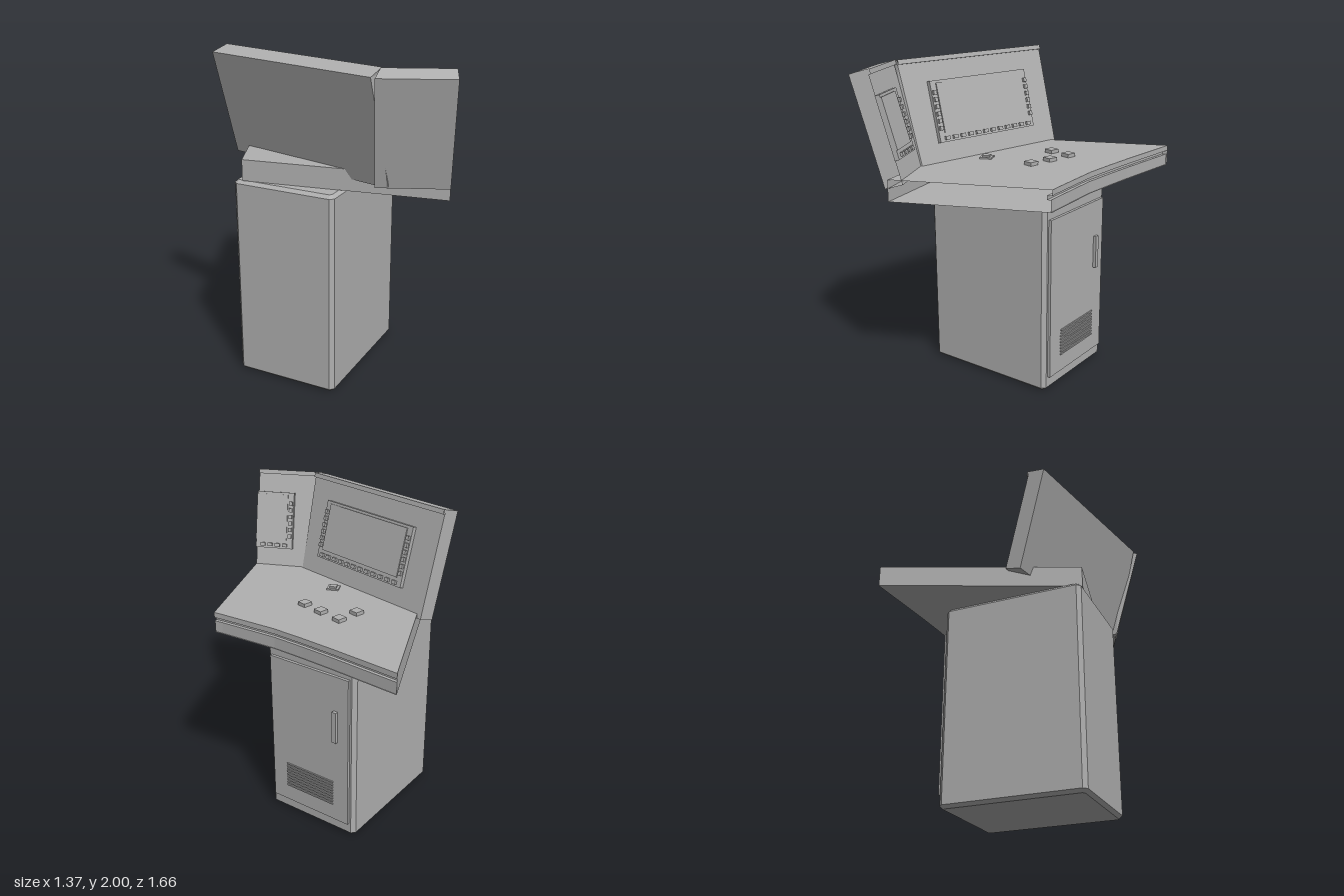
import * as THREE from 'three';

export function createModel() {
  const root = new THREE.Group();
  const metal = new THREE.MeshStandardMaterial({ color: 0xb0b0b0, side: THREE.DoubleSide });
  metal.name = 'greyMetal';

  const add = (parent, name, geometry, x = 0, y = 0, z = 0) => {
    const mesh = new THREE.Mesh(geometry, metal);
    mesh.name = name;
    mesh.position.set(x, y, z);
    parent.add(mesh);
    return mesh;
  };
  const box = (parent, name, w, h, d, x, y, z) => add(parent, name, new THREE.BoxGeometry(w, h, d), x, y, z);
  const group = (parent, name) => {
    const g = new THREE.Group();
    g.name = name;
    parent.add(g);
    return g;
  };

  // Flat-shaded surface through rows of points
  const sheet = (rows) => {
    const n = rows[0].length, index = [];
    for (let r = 0; r < rows.length - 1; r++)
      for (let c = 0; c < n - 1; c++) {
        const a = r * n + c;
        index.push(a, a + n, a + 1, a + 1, a + n, a + n + 1);
      }
    const g = new THREE.BufferGeometry();
    g.setAttribute('position', new THREE.Float32BufferAttribute(rows.flat(2), 3));
    g.setIndex(index);
    const flat = g.toNonIndexed();
    flat.computeVertexNormals();
    return flat;
  };

  // Cabinet: chamfered box turned on the floor
  const cabinet = group(root, 'cabinet');
  cabinet.position.set(-0.085, 0, 0.075);
  cabinet.rotation.y = -0.408;
  const bevel = 0.02, hw = 0.327 - bevel, hd = 0.44 - bevel, cut = 0.012;
  const plan = new THREE.Shape([
    [-hw + cut, -hd], [hw - cut, -hd], [hw, -hd + cut], [hw, hd - cut],
    [hw - cut, hd], [-hw + cut, hd], [-hw, hd - cut], [-hw, -hd + cut],
  ].map(([x, y]) => new THREE.Vector2(x, y)));
  const body = new THREE.ExtrudeGeometry(plan, {
    depth: 1.26 - 2 * bevel, bevelEnabled: true, bevelSize: bevel, bevelThickness: bevel, bevelSegments: 1,
  });
  body.rotateX(-Math.PI / 2);
  add(cabinet, 'cabinetBody', body, 0, bevel, 0);

  // Door with handle and vent on the operator side
  box(cabinet, 'door', 0.58, 1.02, 0.02, 0, 0.6, -0.448);
  box(cabinet, 'doorHandle', 0.03, 0.21, 0.022, -0.2, 0.775, -0.467);
  for (let i = 0; i < 9; i++)
    box(cabinet, 'ventSlat', 0.36, 0.009, 0.008, 0, 0.205 + i * 0.0205, -0.461);

  // Desk: hollow slab, open at the right-hand joint, grooved curved edge
  const desk = group(root, 'desk');
  const back = [[0.68, -0.295], [0.63, -0.31], [0.27, -0.44], [0.08, -0.53], [-0.1, -0.62], [-0.5, -0.83]];
  const front = [[-0.5, 0.37], [0.68, 0.64]];
  const outline = new THREE.Shape([...back, ...front].map(([x, z]) => new THREE.Vector2(x, -z)));
  const top = new THREE.ShapeGeometry(outline);
  top.rotateX(-Math.PI / 2);
  add(desk, 'deskTop', top, 0, 1.39, 0);
  const under = new THREE.ShapeGeometry(outline);
  under.rotateX(-Math.PI / 2);
  add(desk, 'deskUnderside', under, 0, 1.262, 0);
  const edge = [[0, 1.39], [0, 1.357], [0.03, 1.357], [0.03, 1.332], [0.008, 1.332], [0.008, 1.262]];
  add(desk, 'deskCurvedEdge', sheet(edge.map(([dz, y]) => back.map(([x, z]) => [x, y, z + dz]))));
  const wall = [[-0.5, -0.83], ...front];
  add(desk, 'deskWalls', sheet([1.39, 1.262].map((y) => wall.map(([x, z]) => [x, y, z]))));

  // Desk buttons
  const keys = [[-0.07, -0.25], [0.06, -0.16], [0.18, -0.07], [-0.15, -0.13]];
  for (const [x, z] of keys) box(desk, 'button', 0.06, 0.024, 0.06, x, 1.4, z).rotation.y = -0.617;
  box(desk, 'controlBase', 0.076, 0.01, 0.076, 0.07, 1.394, 0.23);
  box(desk, 'controlKnob', 0.045, 0.018, 0.045, 0.07, 1.4, 0.23);

  // Leaning panel; profile is [z, y] with start and end x at each corner
  const profile = [[0.55, 1.365], [0.715, 1.97], [0.703, 1.973], [0.71, 2], [0.83, 1.968], [0.655, 1.333]];
  const panel = (name, starts, ends, capEnd) => {
    const g = group(root, name);
    const ring = (xs) => profile.map(([z, y], i) => [xs[i], y, z]);
    const a = ring(starts), b = ring(ends);
    add(g, 'panelShell', sheet([[...a, a[0]], [...b, b[0]]]));
    const cap = (r) => add(g, 'panelEnd', sheet([[r[0], r[1], r[3]], [r[5], r[4], r[4]]]));
    cap(a);
    if (capEnd) cap(b);
    return g;
  };

  // Screen with rows of small keys on the inner face
  const screen = (parent, x0, x1, columns, keyRight) => {
    const g = group(parent, 'screen');
    g.position.set(0, 1.365, 0.55);
    g.rotation.x = Math.atan2(0.165, 0.605);
    const w = x1 - x0, cx = (x0 + x1) / 2;
    box(g, 'screenFrame', w, 0.37, 0.028, cx, 0.325, -0.012);
    const inset = 0.04, r = keyRight ? x1 - inset : x1;
    box(g, 'screenGlass', r - x0 - inset, 0.3, 0.01, (r + x0 + inset) / 2, 0.345, -0.028);
    const step = (w - 0.1) / (columns - 1);
    for (let i = 0; i < columns; i++)
      box(g, 'screenKey', 0.032, 0.022, 0.018, x0 + 0.05 + i * step, 0.163, -0.032);
    for (let i = 0; i < 6; i++) {
      box(g, 'screenKey', 0.022, 0.026, 0.018, x0 + 0.018, 0.225 + i * 0.043, -0.032);
      if (keyRight) box(g, 'screenKey', 0.022, 0.026, 0.018, x1 - 0.018, 0.225 + i * 0.043, -0.032);
    }
  };

  // Angled main panel
  const main = panel('anglePanel', profile.map(() => -0.475), [0.604, 0.641, 0.64, 0.645, 0.66, 0.665], true);
  const turn = 0.617, shift = -0.315;
  main.rotation.y = -turn;
  main.position.set(-Math.sin(turn) * shift, 0, Math.cos(turn) * shift);
  screen(main, -0.29, 0.46, 12, true);

  // Straight side panel, open at the joint
  const side = panel('sidePanel', [0.35, 0.295, 0.295, 0.29, 0.262, 0.27], profile.map(() => 0.68), false);
  screen(side, 0.43, 0.68, 4, false);

  return root;
}
